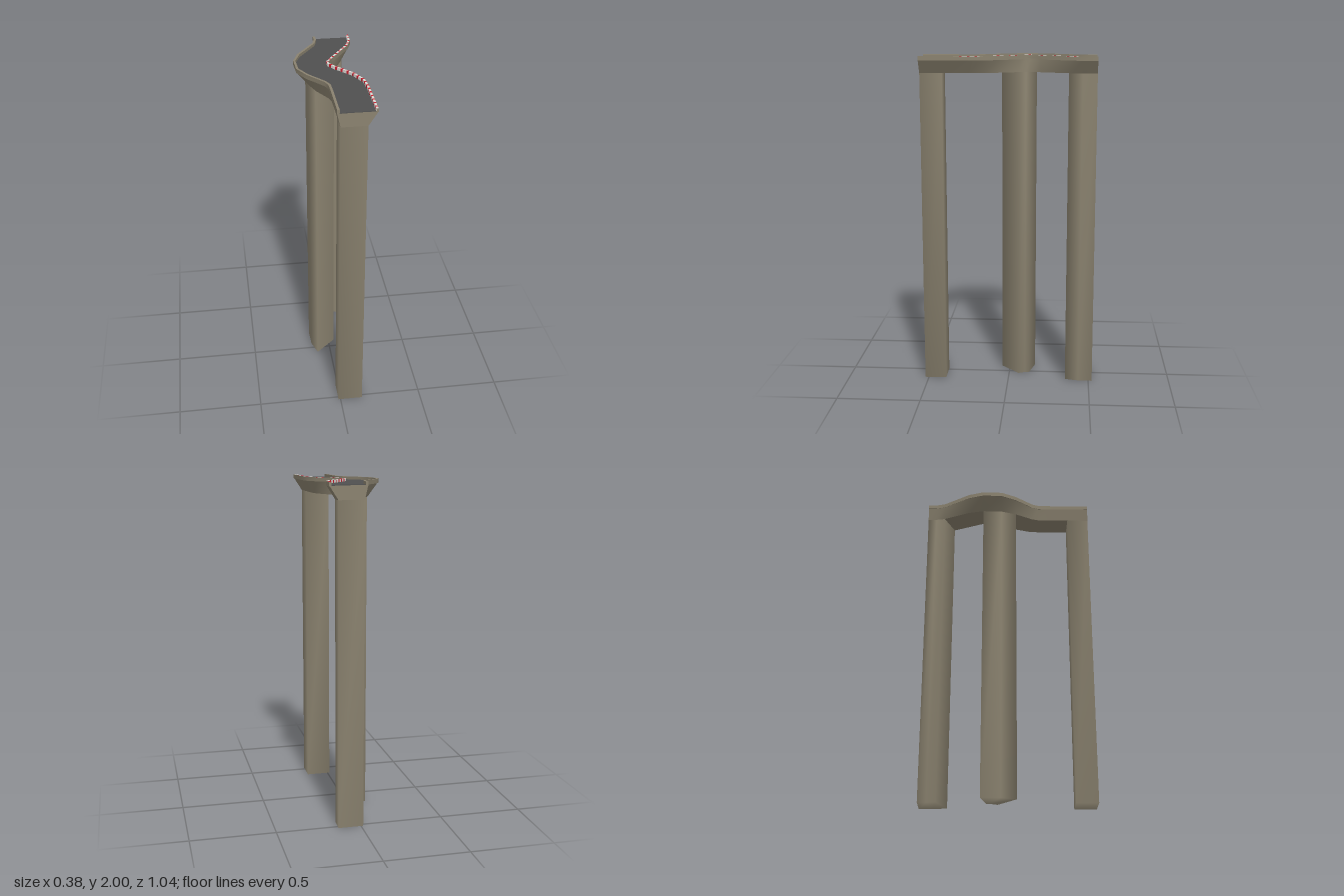
import * as THREE from 'three';
import { toCreasedNormals } from 'three/addons/utils/BufferGeometryUtils.js';

// Road cross-sections from back to front: left x, left z, right x, right z
const SECTIONS = [
  [-0.031, -0.522, 0.187, -0.522],
  [-0.032, -0.470, 0.186, -0.435],
  [-0.047, -0.415, 0.158, -0.355],
  [-0.155, -0.255, 0.050, -0.186],
  [-0.188, -0.160, 0.012, -0.125],
  [-0.183, -0.042, 0.014, -0.100],
  [-0.136, 0.050, 0.040, -0.060],
  [-0.050, 0.158, 0.133, 0.050],
  [-0.033, 0.200, 0.178, 0.147],
  [-0.031, 0.280, 0.187, 0.235],
  [-0.031, 0.390, 0.187, 0.390],
  [-0.031, 0.522, 0.187, 0.522],
];

// Point across a section: t = 0 left edge, t = 1 right edge
const across = ([lx, lz, rx, rz], t, y) => [lx + (rx - lx) * t, y, lz + (rz - lz) * t];

// Narrower line followed by the underside and the pillars
const under = (s, t, y) => {
  const [x, , z] = across(s, t, y);
  return [x * 0.68 + 0.008, y, z];
};

const mix = (a, b, f) => a.map((v, i) => v + (b[i] - v) * f);

// Closed solid through four-cornered rings (top left, top right, bottom right, bottom left)
function loft(rings) {
  const index = [];
  const last = (rings.length - 1) * 4;
  for (let i = 0; i < rings.length - 1; i++) {
    for (let j = 0; j < 4; j++) {
      const a = i * 4 + j, b = i * 4 + (j + 1) % 4;
      index.push(a, a + 4, b + 4, a, b + 4, b);
    }
  }
  index.push(0, 1, 2, 0, 2, 3);
  index.push(last, last + 2, last + 1, last, last + 3, last + 2);
  const geometry = new THREE.BufferGeometry();
  geometry.setAttribute('position', new THREE.Float32BufferAttribute(rings.flat(2), 3));
  geometry.setIndex(index);
  geometry.computeVertexNormals();
  return geometry;
}

// Strip of constant profile running along the road
const strip = (sections, t0, t1, y0, y1) => loft(sections.map((s) => [
  across(s, t0, y1), across(s, t1, y1), across(s, t1, y0), across(s, t0, y0),
]));

export function createModel() {
  const stone = new THREE.MeshStandardMaterial({ color: 0x8a826f });
  const asphalt = new THREE.MeshStandardMaterial({ color: 0x505050 });
  const red = new THREE.MeshStandardMaterial({ color: 0xcc2030 });
  const white = new THREE.MeshStandardMaterial({ color: 0xdcd8d4 });
  stone.name = 'stone';
  asphalt.name = 'asphalt';
  red.name = 'kerbRed';
  white.name = 'kerbWhite';

  const model = new THREE.Group();
  model.name = 'curvedViaduct';
  const add = (name, geometry, material, parent = model) => {
    const mesh = new THREE.Mesh(geometry, material);
    mesh.name = name;
    parent.add(mesh);
  };
  const crease = (geometry) => toCreasedNormals(geometry, 0.7);

  // Flared beam below the road
  add('deckBeam', crease(loft(SECTIONS.map((s) => [
    across(s, 0, 1.98), across(s, 1, 1.98), under(s, 1, 1.9), under(s, 0, 1.9),
  ]))), stone);

  // Road surface between the low walls
  add('roadSurface', crease(strip(SECTIONS, 0.06, 0.94, 1.978, 1.983)), asphalt);

  // Low walls on both edges
  add('rightWall', crease(strip(SECTIONS, 0, 0.065, 1.975, 2)), stone);
  add('leftWall', crease(strip(SECTIONS, 0.94, 1, 1.975, 1.999)), stone);

  // Red and white kerb lining the inside and top of the left wall
  const kerb = new THREE.Group();
  kerb.name = 'kerb';
  model.add(kerb);
  let count = 0;
  for (let i = 0; i < SECTIONS.length - 1; i++) {
    const a = SECTIONS[i], b = SECTIONS[i + 1];
    const steps = Math.max(2, Math.round(Math.hypot(b[2] - a[2], b[3] - a[3]) / 0.015));
    for (let k = 0; k < steps; k++) {
      const ends = [mix(a, b, k / steps), mix(a, b, (k + 1) / steps)];
      const isRed = count++ % 3 === 0;
      add(isRed ? 'kerbRedBlock' : 'kerbWhiteBlock',
        crease(strip(ends, 0.935, 0.99, 1.98, 2)), isRed ? red : white, kerb);
    }
  }

  // Softly shaded pillars that follow the bends of the road
  const pillars = { backPillar: [0, 2], middlePillar: [4, 6], frontPillar: [10, 11] };
  for (const [name, [from, to]] of Object.entries(pillars)) {
    add(name, loft(SECTIONS.slice(from, to + 1).map((s) => [
      under(s, 0, 1.9), under(s, 1, 1.9), under(s, 1, 0), under(s, 0, 0),
    ])), stone);
  }
  return model;
}
